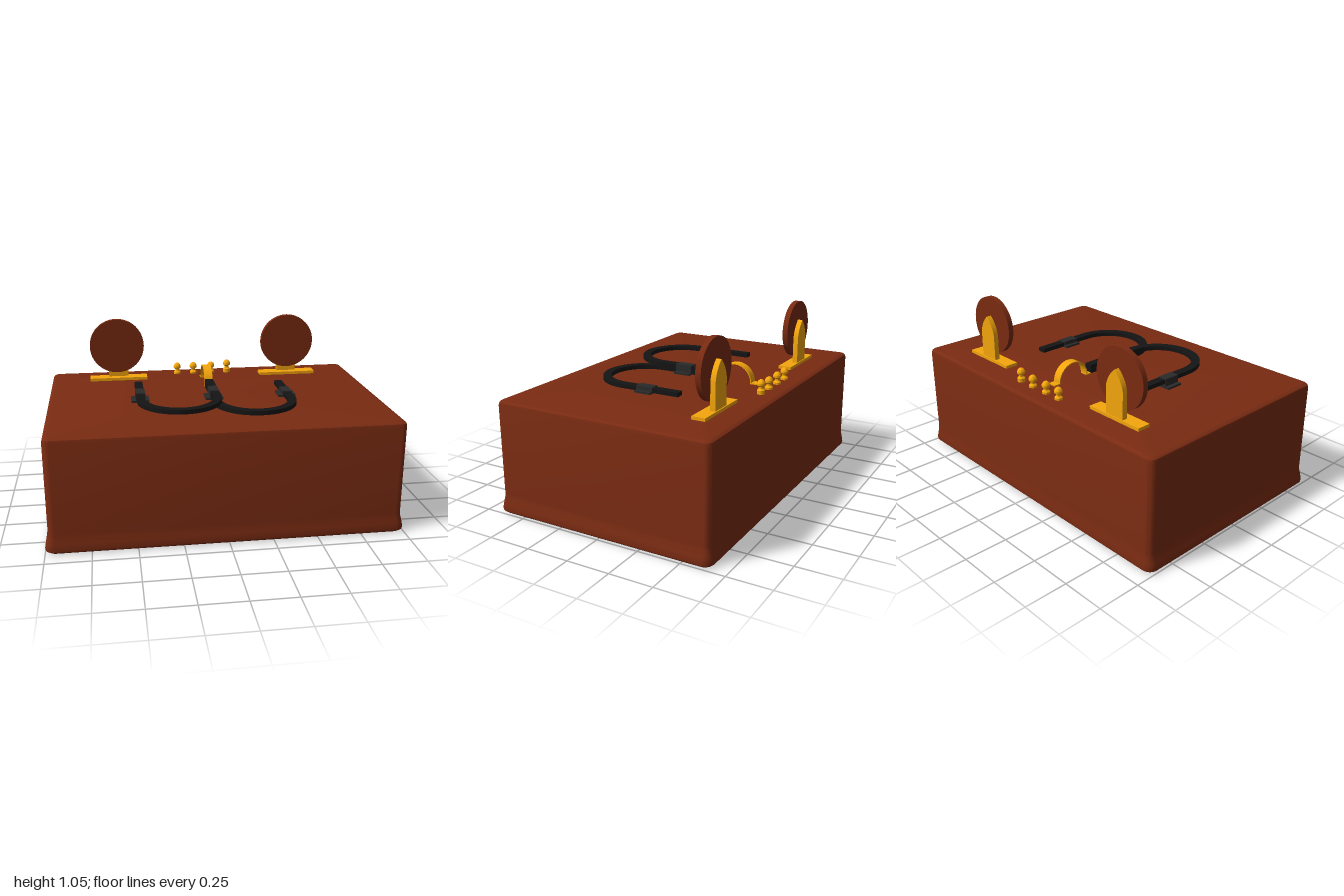
import * as THREE from 'three';
import { toCreasedNormals } from 'three/addons/utils/BufferGeometryUtils.js';

const paint = (color) => new THREE.MeshStandardMaterial({ color });
const TOP = 0.655;

// Closed solid from rounded-rectangle rings [half width, half depth, corner radius, y]
function ringSolid(rings, steps = 6) {
  const pos = [], index = [];
  const n = 4 * (steps + 1);
  for (const [hx, hz, r, y] of rings) {
    for (let c = 0; c < 4; c++) {
      const sx = c === 0 || c === 3 ? 1 : -1, sz = c < 2 ? 1 : -1;
      for (let s = 0; s <= steps; s++) {
        const a = (c + s / steps) * Math.PI / 2;
        pos.push(sx * (hx - r) + r * Math.cos(a), y, sz * (hz - r) + r * Math.sin(a));
      }
    }
  }
  for (let k = 0; k < rings.length - 1; k++) {
    for (let i = 0; i < n; i++) {
      const a = k * n + i, b = k * n + (i + 1) % n;
      if (k < rings.length - 2) index.push(a, a + n, b + n);
      else index.push(a, a + n, b);
      if (k > 0 && k < rings.length - 2) index.push(a, b + n, b);
    }
  }
  const g = new THREE.BufferGeometry();
  g.setAttribute('position', new THREE.Float32BufferAttribute(pos, 3));
  g.setIndex(index);
  return toCreasedNormals(g, 0.6);
}

// Flat U-shaped band: legs start at `start`, bend is centred on `bend`
function uShape(radius, half, start, bend) {
  const o = radius + half, i = radius - half;
  const s = new THREE.Shape();
  s.moveTo(-o, start);
  s.lineTo(-o, bend);
  s.absarc(0, bend, o, Math.PI, 0, true);
  s.lineTo(o, start);
  s.lineTo(i, start);
  s.lineTo(i, bend);
  s.absarc(0, bend, i, 0, Math.PI, false);
  s.lineTo(-i, start);
  s.closePath();
  return s;
}

const extrude = (shape, depth) => toCreasedNormals(
  new THREE.ExtrudeGeometry(shape, { depth, bevelEnabled: false, curveSegments: 32 }), 0.5);

export function createModel() {
  const model = new THREE.Group();
  const brown = paint(0x7a2b12), gold = paint(0xf5a60c);
  const black = paint(0x151515), dark = paint(0x2a2a2a);

  const add = (name, geometry, material, x = 0, y = 0, z = 0, parent = model) => {
    const mesh = new THREE.Mesh(geometry, material);
    mesh.name = name;
    mesh.position.set(x, y, z);
    parent.add(mesh);
    return mesh;
  };
  const box = (name, w, h, d, material, x, y, z, parent) =>
    add(name, new THREE.BoxGeometry(w, h, d), material, x, y, z, parent);

  // Case with a flared foot and softly rounded top
  add('caseBody', ringSolid([
    [0, 0, 0, 0],
    [0.965, 0.635, 0.04, 0],
    [0.985, 0.653, 0.045, 0.005],
    [0.998, 0.665, 0.05, 0.016],
    [1.0, 0.667, 0.05, 0.028],
    [0.993, 0.662, 0.045, 0.06],
    [0.984, 0.657, 0.04, 0.09],
    [0.981, 0.655, 0.038, 0.115],
    [0.981, 0.655, 0.038, 0.63],
    [0.977, 0.651, 0.036, 0.645],
    [0.967, 0.641, 0.03, 0.653],
    [0.95, 0.624, 0.025, TOP],
    [0, 0, 0, TOP],
  ]), brown);

  // Upright discs on pointed brackets
  const post = new THREE.Shape();
  post.moveTo(-0.0625, 0);
  post.lineTo(0.0625, 0);
  post.lineTo(0.0625, 0.17);
  post.quadraticCurveTo(0.055, 0.23, 0, 0.28);
  post.quadraticCurveTo(-0.055, 0.23, -0.0625, 0.17);
  post.closePath();
  const postGeometry = extrude(post, 0.03);
  const discGeometry = new THREE.CylinderGeometry(0.171, 0.171, 0.032, 48).rotateX(Math.PI / 2);
  for (const side of [-1, 1]) {
    const stand = new THREE.Group();
    stand.name = side > 0 ? 'leftDiscStand' : 'rightDiscStand';
    stand.position.x = side * 0.554;
    model.add(stand);
    box('basePlate', 0.364, 0.018, 0.08, gold, 0, TOP + 0.009, -0.456, stand);
    add('bracket', postGeometry, gold, 0, TOP, -0.49, stand);
    add('disc', discGeometry, brown, -0.006, 0.878, -0.444, stand);
  }

  // Row of turned knobs
  const knobGeometry = toCreasedNormals(new THREE.LatheGeometry([
    [0, 0], [0.023, 0], [0.023, 0.022], [0.013, 0.032], [0.013, 0.042],
    [0.023, 0.05], [0.024, 0.062], [0.017, 0.075], [0.008, 0.082], [0, 0.084],
  ].map(([x, y]) => new THREE.Vector2(x, y)), 20), 0.6);
  for (const x of [-0.166, -0.059, 0.059, 0.166]) {
    add('knob', knobGeometry, gold, x, TOP - (x > 0.1 ? 0 : 0.01), -0.54);
  }

  // Thin arched handle with a foot at each end
  const arch = extrude(uShape(0.102, 0.003, 0, 0.005), 0.052);
  arch.translate(0, 0, -0.026).rotateY(-Math.PI / 2);
  add('archHandle', arch, gold, 0, TOP, -0.31);
  for (const z of [-0.193, -0.433]) {
    box('handleFoot', 0.052, 0.007, 0.038, gold, 0, TOP + 0.0035, z);
  }

  // Two U-shaped straps, one overlapping the other in the middle
  const strap = extrude(uShape(0.22, 0.024, -0.178, 0.188), 0.025).rotateX(Math.PI / 2);
  add('rightStrap', strap, black, -0.222, 0.709, 0);
  add('leftStrap', strap, black, 0.217, 0.684, 0);

  // Clips holding the straps
  for (const [x, top] of [[-0.442, 0.711], [-0.004, 0.711], [0.436, 0.69]]) {
    box('clipPlate', 0.105, 0.012, 0.105, dark, x, TOP + 0.006, 0.036);
    box('clipLoop', 0.056, top - TOP, 0.105, dark, x, (top + TOP) / 2, 0.036);
  }
  return model;
}
